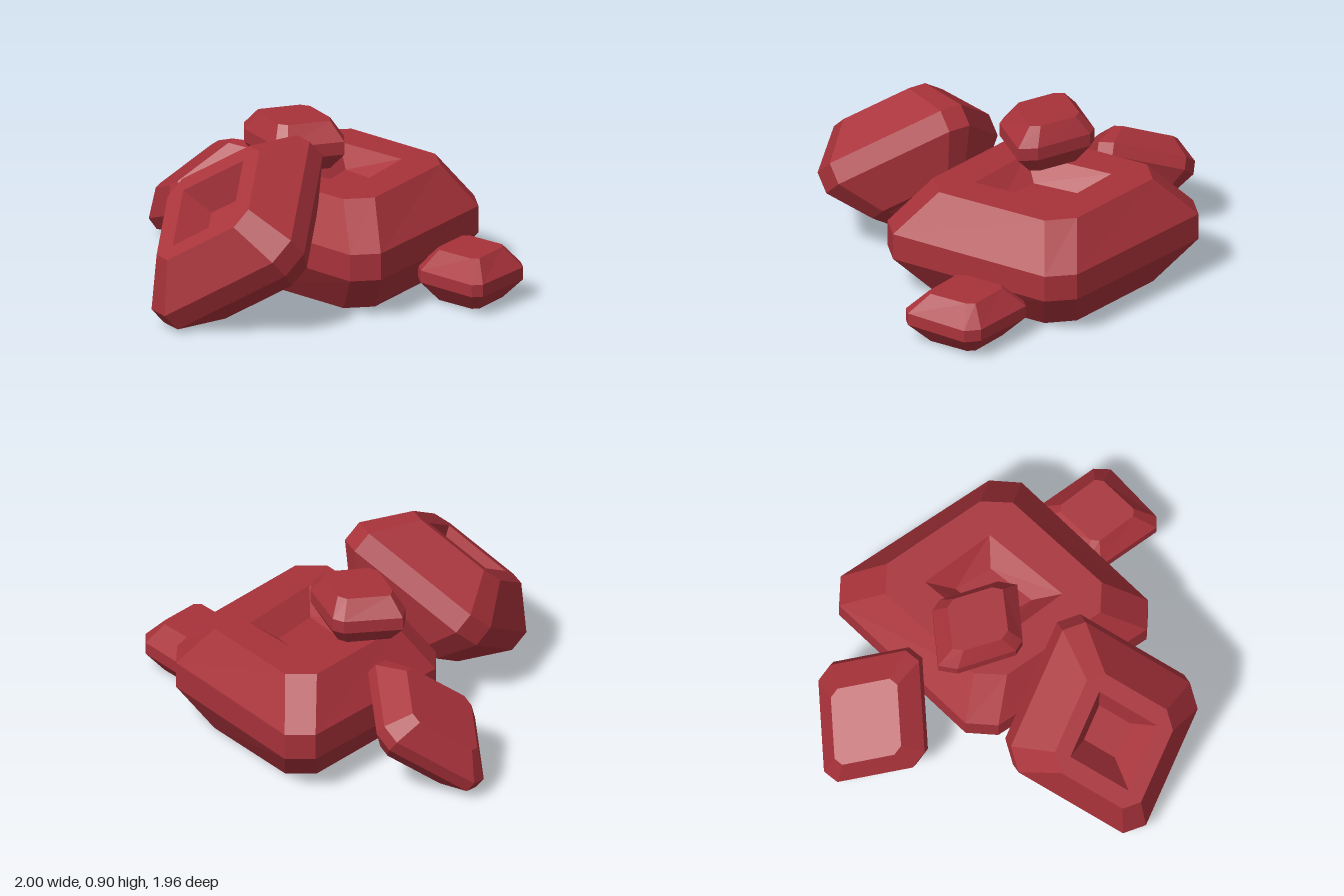
import * as THREE from 'three';

const redStone = new THREE.MeshStandardMaterial({ color: 0xa8323a });
redStone.name = 'redStone';

// Half an outline (4 points) is completed by point symmetry.
const full = (half) => [...half, ...half.map(([x, z]) => [-x, -z])];
// Two corners become four; doubled so they match the eight-sided rings.
const corners = (pair) => full([pair[0], pair[0], pair[1], pair[1]]);
// Rectangle with cut corners: half sizes a, b and cut c.
const cut = (a, b, c) => [[a - c, -b], [a, -b + c], [a, b - c], [a - c, b]];

// A bevelled block: belt in the middle, smaller flat faces, optional hollows in both faces.
function blockGeometry({ belt, face, height, beltHeight, hollow }) {
  const ring = (outline, y) => outline.map(([x, z]) => new THREE.Vector3(x, y, z));
  const upper = [ring(full(belt), beltHeight), ring(full(face), height)];
  const lower = [ring(full(belt), -beltHeight), ring(full(face), -height)];
  if (hollow) {
    const { rim, floor, depth } = hollow;
    upper.push(ring(corners(rim), height), ring(corners(floor), height - depth));
    lower.push(ring(corners(rim), -height), ring(corners(floor), depth - height));
  }
  const rings = [...lower.reverse(), ...upper];
  const points = [];
  const tri = (a, b, c) => {
    const area = b.clone().sub(a).cross(c.clone().sub(a)).length();
    if (area > 1e-7) points.push(a, b, c);
  };
  for (let r = 0; r < rings.length - 1; r++) {
    const L = rings[r], H = rings[r + 1];
    for (let i = 0; i < 8; i++) {
      const j = (i + 1) % 8;
      tri(L[j], L[i], H[i]);
      tri(L[j], H[i], H[j]);
    }
  }
  // End faces
  const first = rings[0], last = rings[rings.length - 1];
  for (let i = 1; i < 7; i++) {
    tri(first[0], first[i], first[i + 1]);
    tri(last[0], last[i + 1], last[i]);
  }
  const geometry = new THREE.BufferGeometry().setFromPoints(points);
  return geometry;
}

const blocks = [
  {
    name: 'largeBaseBlock', position: [0.225, 0.3, -0.045],
    belt: [[0.045, -0.805], [0.205, -0.785], [0.68, 0.025], [0.655, 0.195]],
    face: [[0.01, -0.565], [0.175, -0.545], [0.485, -0.035], [0.465, 0.135]],
    height: 0.3, beltHeight: 0.0725,
    hollow: { rim: [[0.058, -0.355], [0.295, 0]], floor: [[0.045, -0.195], [0.145, -0.005]], depth: 0.1 },
  },
  {
    name: 'leaningBlock', position: [-0.515, 0.458, 0.465],
    axes: [[0.367, 0.514, -0.776], [-0.65, 0.73, 0.2], [0.733, 0.512, 0.452]],
    belt: cut(0.44, 0.44, 0.1), face: cut(0.28, 0.29, 0.08),
    height: 0.265, beltHeight: 0.06,
    hollow: { rim: [[0.19, -0.19], [0.19, 0.19]], floor: [[0.1, -0.1], [0.1, 0.1]], depth: 0.15 },
  },
  {
    name: 'backBlock', position: [-0.325, 0.31, -0.715],
    axes: [[0, 0.343, 0.94], [-0.533, 0.796, -0.29], [-0.829, -0.559, 0]],
    belt: cut(0.28, 0.315, 0.07), face: cut(0.185, 0.205, 0.04),
    height: 0.15, beltHeight: 0.035,
  },
  {
    name: 'smallTopBlock', position: [-0.035, 0.73, -0.147],
    belt: [[-0.21, -0.222], [0.1, -0.228], [0.155, -0.188], [0.235, 0.122]],
    face: [[-0.155, -0.143], [0.075, -0.153], [0.12, -0.118], [0.17, 0.087]],
    // last half-points continue the outline by symmetry
    height: 0.13, beltHeight: 0.035,
  },
  {
    name: 'smallFrontBlock', position: [0.73, 0.147, 0.533],
    belt: [[0.02, -0.31], [0.08, -0.303], [0.27, 0], [0.26, 0.09]],
    face: [[0.005, -0.19], [0.045, -0.185], [0.17, 0], [0.16, 0.045]],
    height: 0.138, beltHeight: 0.033,
  },
];

export function createModel() {
  const model = new THREE.Group();
  model.name = 'stonePile';
  for (const block of blocks) {
    const geometry = blockGeometry(block);
    if (block.axes) {
      const [u, n, v] = block.axes.map((a) => new THREE.Vector3(...a).normalize());
      geometry.applyMatrix4(new THREE.Matrix4().makeBasis(u, n, v));
    }
    geometry.computeVertexNormals();
    const mesh = new THREE.Mesh(geometry, redStone);
    mesh.name = block.name;
    mesh.position.set(...block.position);
    model.add(mesh);
  }
  return model;
}
